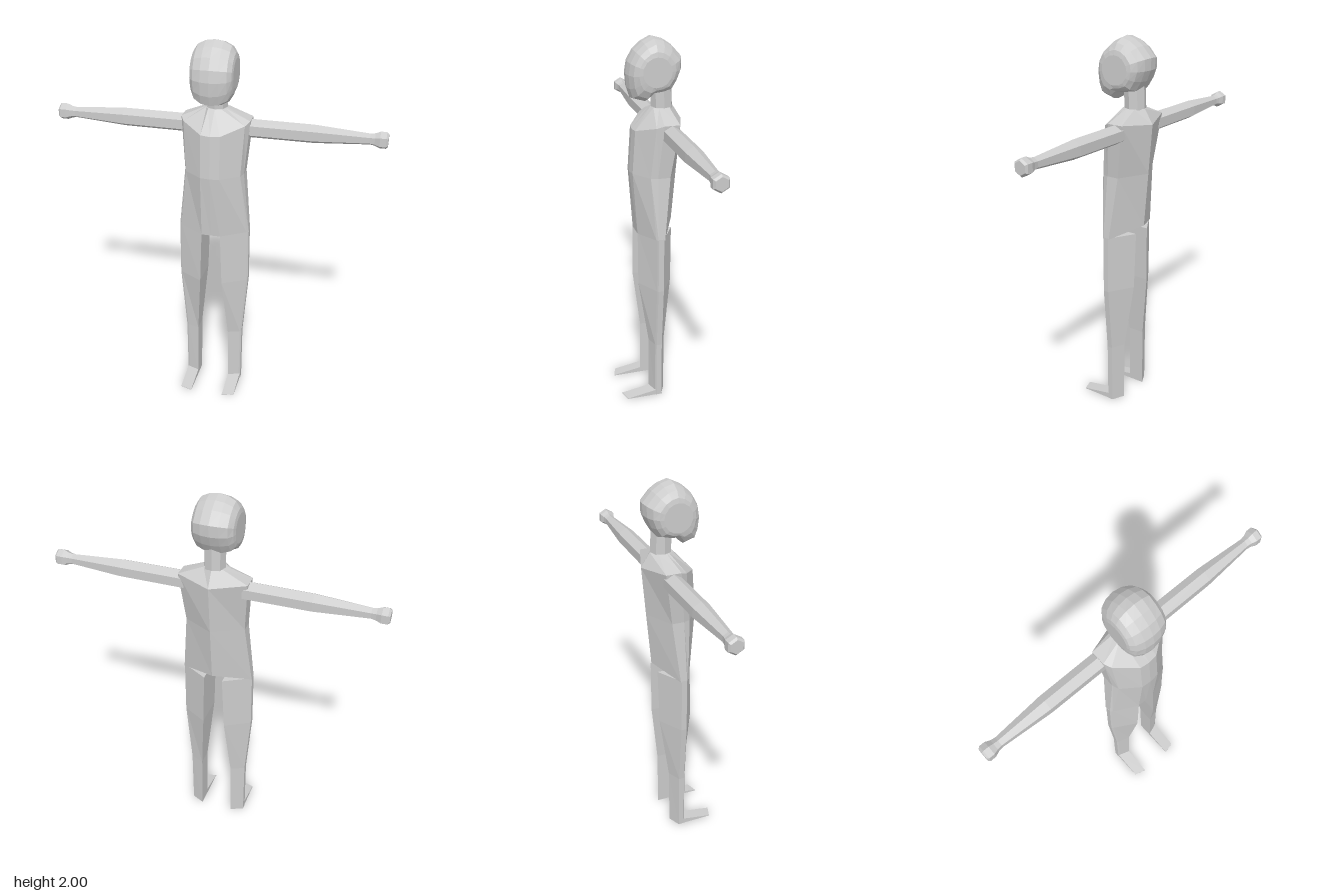
import * as THREE from 'three';

const material = new THREE.MeshStandardMaterial({ color: 0xcccccc, flatShading: true });

// Skin a list of equal-length rings of [x, y, z] points and close both ends.
function loft(name, rings) {
  const pos = [];
  const tri = (...pts) => pts.forEach((p) => pos.push(...p));
  const n = rings[0].length;
  const centre = (ring) => [0, 1, 2].map((k) => ring.reduce((s, p) => s + p[k], 0) / n);
  const first = rings[0], last = rings[rings.length - 1];
  const c0 = centre(first), c1 = centre(last);
  for (let j = 0; j < n; j++) {
    const k = (j + 1) % n;
    for (let i = 0; i + 1 < rings.length; i++) {
      const a = rings[i][j], b = rings[i][k], c = rings[i + 1][k], d = rings[i + 1][j];
      tri(a, d, c, a, c, b);
    }
    tri(c0, first[j], first[k]);
    tri(c1, last[k], last[j]);
  }
  const geometry = new THREE.BufferGeometry();
  geometry.setAttribute('position', new THREE.Float32BufferAttribute(pos, 3));
  geometry.computeVertexNormals();
  const mesh = new THREE.Mesh(geometry, material);
  mesh.name = name;
  return mesh;
}

const flipX = (ring) => ring.map(([x, y, z]) => [-x, y, z]).reverse();

// Left part plus its mirrored right twin.
function pair(name, rings) {
  const group = new THREE.Group();
  group.name = name + 's';
  group.add(loft('left ' + name, rings), loft('right ' + name, rings.map(flipX)));
  return group;
}

// Complete a half ring that runs from front centre to back centre.
const whole = (half) => [...half, ...flipX(half.slice(1, -1))];

function createTorso() {
  return loft('torso', [
    // neck base
    [[0, 1.645, -0.015], [0.035, 1.645, -0.02], [0.05, 1.645, -0.045], [0.055, 1.645, -0.06], [0.05, 1.645, -0.1], [0, 1.645, -0.13]],
    // shoulders
    [[0, 1.535, 0.085], [0.05, 1.538, 0.08], [0.16, 1.575, 0], [0.18, 1.59, -0.035], [0.18, 1.59, -0.115], [0, 1.57, -0.177]],
    // waist
    [[0, 1.31, 0.1], [0.05, 1.31, 0.095], [0.145, 1.31, 0.025], [0.157, 1.31, -0.01], [0.157, 1.31, -0.075], [0, 1.31, -0.155]],
    // hips
    [[0, 0.97, 0.07], [0.05, 0.97, 0.07], [0.18, 0.98, 0.005], [0.19, 0.98, -0.005], [0.19, 0.98, -0.04], [0, 1.02, -0.13]],
  ].map(whole));
}

function createNeck() {
  const ring = (y, zc) => Array.from({ length: 8 }, (_, i) => {
    const a = (i / 8) * Math.PI * 2;
    return [0.055 * Math.sin(a), y, zc + 0.056 * Math.cos(a)];
  });
  return loft('neck', [ring(1.76, -0.068), ring(1.64, -0.072)]);
}

// Head: side discs swelling out to the centre profile, given as [z, y].
function createHead() {
  const profile = [
    [-0.02, 2], [0.03, 1.975], [0.075, 1.935], [0.105, 1.88], [0.115, 1.82], [0.11, 1.75],
    [0.095, 1.7], [0.03, 1.68], [-0.01, 1.72], [-0.06, 1.725], [-0.11, 1.735], [-0.14, 1.785],
    [-0.163, 1.84], [-0.165, 1.9], [-0.115, 1.955], [-0.07, 1.985],
  ];
  const zc = -0.02, yc = 1.84, discRadius = 0.075;
  const half = [[0.11, 0], [0.105, 0.3], [0.085, 0.68], [0.045, 0.92]];
  const stations = [...half, [0, 1], ...half.map(([x, t]) => [-x, t]).reverse()];
  return loft('head', stations.map(([x, t]) => profile.map(([z, y]) => {
    const s = t + (1 - t) * discRadius / Math.hypot(z - zc, y - yc);
    return [x, yc + (y - yc) * s, zc + (z - zc) * s];
  })));
}

// Six-sided arm ending in a knobbed hand, as [x, radius] stations.
function createArms() {
  const stations = [[0.15, 0.05], [0.5, 0.049], [0.775, 0.029], [0.8, 0.033], [0.825, 0.044], [0.855, 0.044], [0.865, 0.034]];
  return pair('arm', stations.map(([x, r]) => Array.from({ length: 6 }, (_, i) => {
    const a = (i + 0.5) / 6 * Math.PI * 2;
    return [x, 1.54 + r * Math.sin(a), -0.075 + r * Math.cos(a)];
  })));
}

// Stations: height, inner x, outer x, front z, back z.
function createLegs() {
  const stations = [
    [0.985, 0.05, 0.19, 0.07, -0.115],
    [0.68, 0.06, 0.19, 0.07, -0.11],
    [0.33, 0.087, 0.16, 0.02, -0.068],
    [0, 0.09, 0.157, 0.02, -0.066],
  ];
  return pair('leg', stations.map(([y, xi, xo, zf, zb]) => [
    [xi, y, zf], [xo - 0.008, y, 0], [xo, y, -0.006], [xo, y, -0.035], [xi, y, zb],
  ]));
}

// Flat wedge feet with a slanted toe edge.
function createFeet() {
  const ring = (top, zi, zo) => [[0.09, top, zi], [0.155, top, zo], [0.155, 0, zo], [0.09, 0, zi]];
  const feet = pair('foot', [ring(0.03, 0.015, -0.005), ring(0.003, 0.178, 0.158)]);
  feet.name = 'feet';
  return feet;
}

export function createModel() {
  const model = new THREE.Group();
  model.name = 'figure';
  model.add(createHead(), createNeck(), createTorso(), createArms(), createLegs(), createFeet());
  return model;
}
